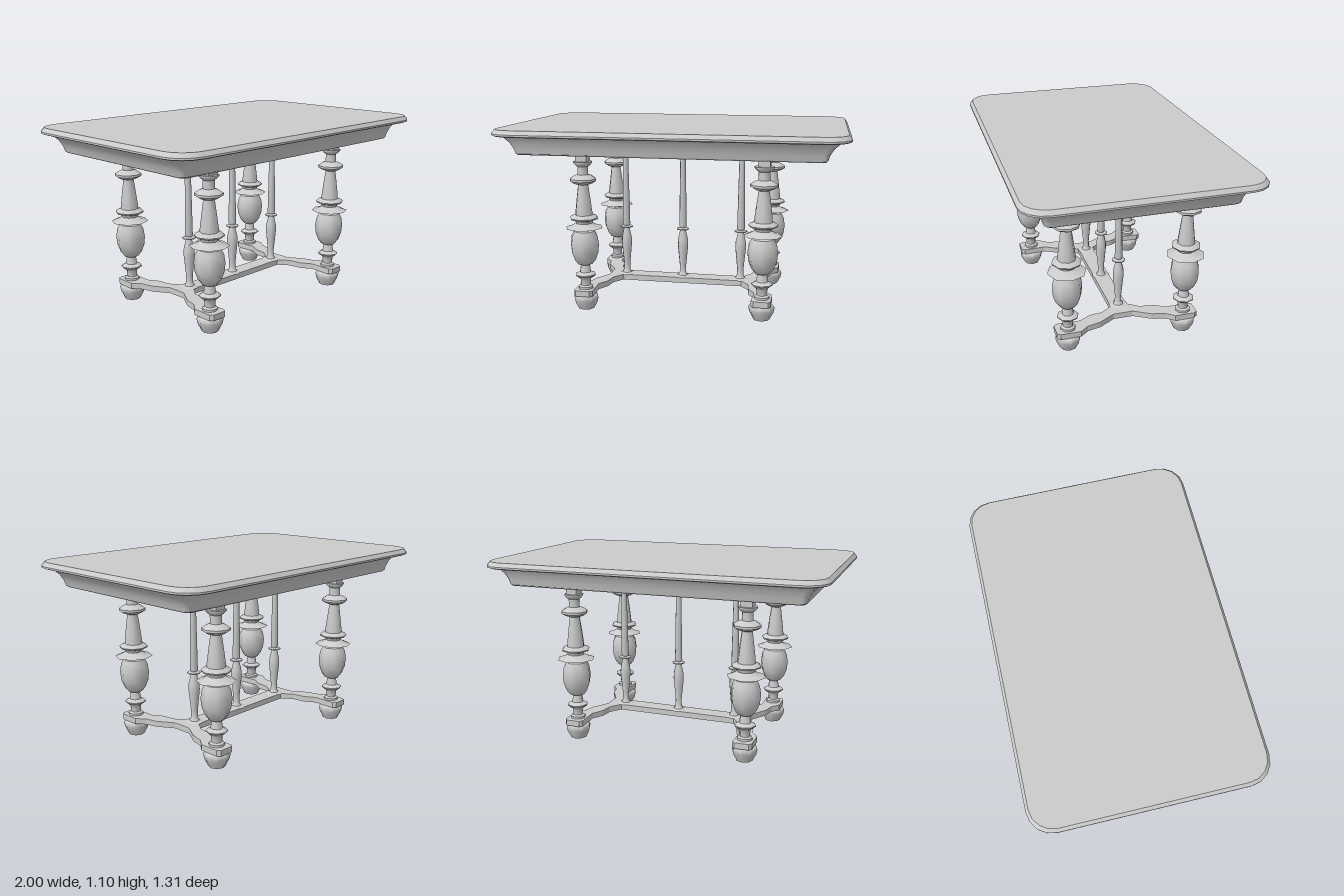
import * as THREE from 'three';
import { toCreasedNormals } from 'three/addons/utils/BufferGeometryUtils.js';

const material = new THREE.MeshStandardMaterial({ color: 0xcccccc });
const BASE_Z = -0.015; // the underframe sits slightly behind centre

function addMesh(parent, name, geometry, x = 0, y = 0, z = 0) {
  const mesh = new THREE.Mesh(geometry, material);
  mesh.name = name;
  mesh.position.set(x, y, z);
  parent.add(mesh);
  return mesh;
}

// Turned part from [radius, height] pairs, bottom to top
function turned(profile, sides) {
  const points = profile.map(([r, y]) => new THREE.Vector2(r, y));
  return toCreasedNormals(new THREE.LatheGeometry(points, sides), 0.83);
}

// Closed loft through rounded rectangles: [y, half width, half depth, corner radius]
function roundedLoft(levels, segments) {
  const rings = levels.map(([y, hx, hz, r]) => {
    const ring = [];
    [[1, 1], [-1, 1], [-1, -1], [1, -1]].forEach(([sx, sz], q) => {
      for (let i = 0; i <= segments; i++) {
        const a = (q + i / segments) * Math.PI / 2;
        ring.push([sx * (hx - r) + r * Math.cos(a), y, sz * (hz - r) + r * Math.sin(a)]);
      }
    });
    return ring;
  });
  const positions = [];
  const tri = (a, b, c) => positions.push(...a, ...b, ...c);
  const n = rings[0].length;
  const bottom = rings[0], top = rings[rings.length - 1];
  for (let i = 0; i < n; i++) {
    const j = (i + 1) % n;
    for (let k = 0; k < rings.length - 1; k++) {
      const lo = rings[k], hi = rings[k + 1];
      tri(lo[i], hi[i], lo[j]);
      tri(lo[j], hi[i], hi[j]);
    }
    tri([0, bottom[0][1], 0], bottom[i], bottom[j]);
    tri([0, top[0][1], 0], top[j], top[i]);
  }
  const geometry = new THREE.BufferGeometry();
  geometry.setAttribute('position', new THREE.Float32BufferAttribute(positions, 3));
  return toCreasedNormals(geometry, 0.5);
}

// H-shaped base board, one quarter outline mirrored into four
function stretcherGeometry() {
  const quarter = [
    [0.38, 0.05], [0.43, 0.12], [0.44, 0.2], [0.48, 0.27], [0.475, 0.41], [0.49, 0.43],
    [0.575, 0.43], [0.59, 0.41], [0.59, 0.29], [0.55, 0.24], [0.53, 0.16], [0.47, 0.06],
  ];
  const back = [...quarter].reverse();
  const outline = [
    ...quarter,
    ...back.map(([x, z]) => [x, -z]),
    ...quarter.map(([x, z]) => [-x, -z]),
    ...back.map(([x, z]) => [-x, z]),
  ].map(([x, z]) => new THREE.Vector2(x, z));
  const geometry = new THREE.ExtrudeGeometry(new THREE.Shape(outline), { depth: 0.035, bevelEnabled: false });
  return geometry.rotateX(-Math.PI / 2);
}

export function createModel() {
  const table = new THREE.Group();
  table.name = 'table';

  // Top board with an eased edge, and the coved apron below it
  addMesh(table, 'tableTop', roundedLoft([
    [1.064, 0.985, 0.64, 0.13], [1.07, 1, 0.655, 0.14],
    [1.08, 1, 0.655, 0.14], [1.103, 0.983, 0.638, 0.13],
  ], 4));
  addMesh(table, 'apron', roundedLoft([
    [0.953, 0.87, 0.517, 0.03], [0.96, 0.878, 0.524, 0.03], [0.99, 0.888, 0.531, 0.035],
    [1.025, 0.908, 0.543, 0.04], [1.05, 0.935, 0.556, 0.045], [1.066, 0.958, 0.567, 0.05],
  ], 3));

  addMesh(table, 'stretcher', stretcherGeometry(), 0, 0.09, BASE_Z);

  // Four turned legs: bun foot, baluster with bulb, and square block
  const foot = turned([
    [0, 0], [0.05, 0], [0.055, 0.012], [0.07, 0.04], [0.076, 0.065],
    [0.074, 0.08], [0.062, 0.09], [0, 0.09],
  ], 8);
  const baluster = turned([
    [0.045, 0.125], [0.045, 0.138], [0.03, 0.146], [0.033, 0.185], [0.063, 0.208], [0.063, 0.214],
    [0.035, 0.228], [0.028, 0.272], [0.045, 0.278], [0.066, 0.305], [0.083, 0.35], [0.088, 0.4],
    [0.081, 0.45], [0.065, 0.482], [0.048, 0.486], [0.048, 0.5], [0.113, 0.502], [0.075, 0.515],
    [0.05, 0.53], [0.055, 0.545], [0.082, 0.554], [0.086, 0.563], [0.077, 0.573], [0.053, 0.58],
    [0.052, 0.6], [0.042, 0.68], [0.031, 0.762], [0.055, 0.77], [0.08, 0.785], [0.08, 0.798],
    [0.055, 0.815], [0.033, 0.822], [0.033, 0.87], [0.045, 0.878], [0.058, 0.893], [0.058, 0.9], [0, 0.9],
  ], 8);
  const block = new THREE.BoxGeometry(0.068, 0.058, 0.068);
  for (const sx of [1, -1]) {
    for (const sz of [1, -1]) {
      const leg = new THREE.Group();
      leg.name = `${sz > 0 ? 'front' : 'back'}${sx > 0 ? 'Left' : 'Right'}Leg`;
      leg.position.set(sx * 0.533, 0, BASE_Z + sz * 0.355);
      addMesh(leg, 'foot', foot);
      addMesh(leg, 'baluster', baluster);
      addMesh(leg, 'topBlock', block, 0, 0.926, 0);
      table.add(leg);
    }
  }

  // Three slender spindles along the stretcher
  const spindle = turned([
    [0.058, 0.124], [0.03, 0.132], [0.021, 0.15], [0.02, 0.19], [0.028, 0.27], [0.034, 0.33],
    [0.032, 0.365], [0.018, 0.425], [0.04, 0.43], [0.04, 0.436], [0.02, 0.442], [0.024, 0.452],
    [0.016, 0.955],
  ], 8);
  for (const x of [-0.368, 0, 0.368]) addMesh(table, 'spindle', spindle, x, 0, BASE_Z);

  return table;
}
